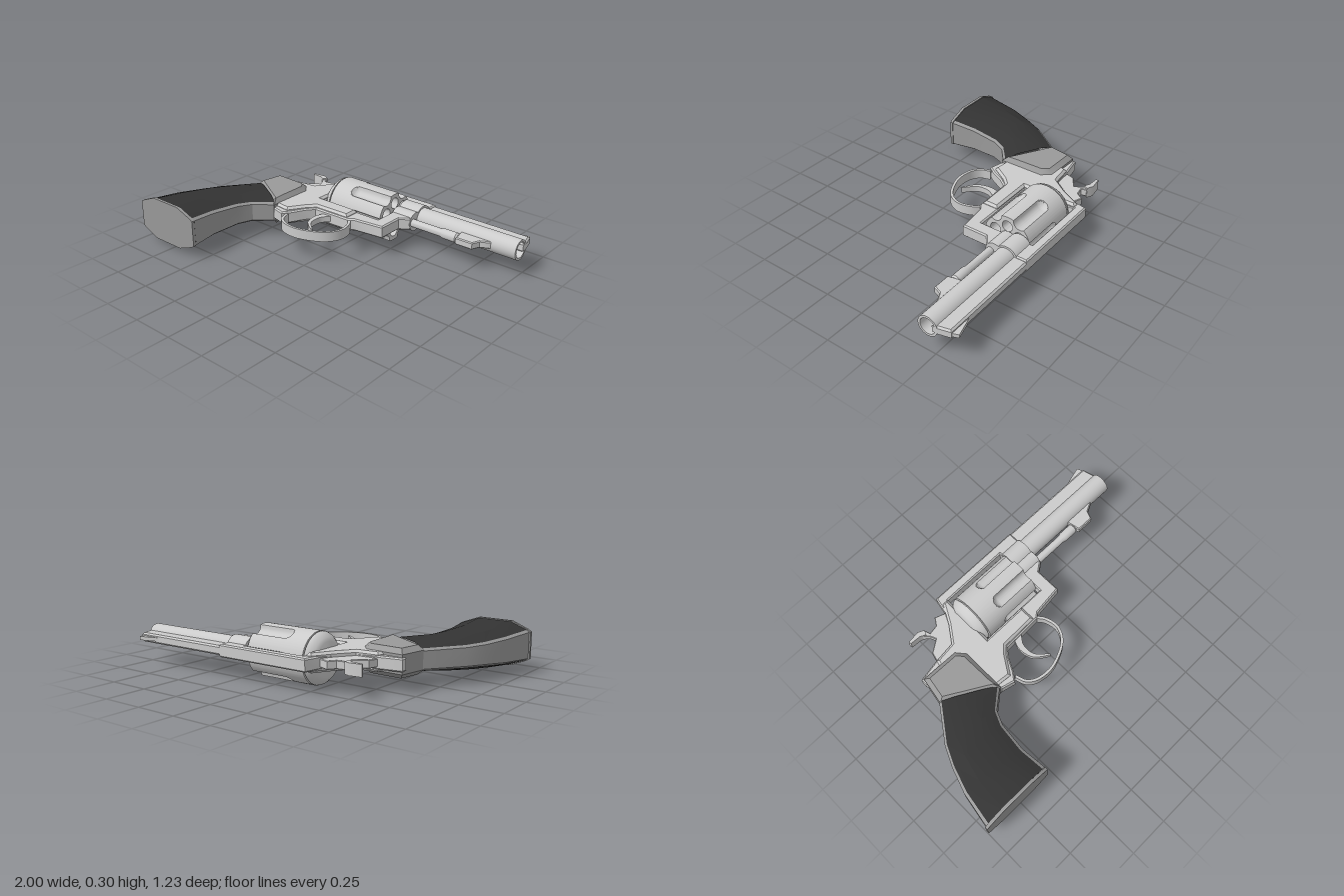
import * as THREE from 'three';
import { toCreasedNormals } from 'three/addons/utils/BufferGeometryUtils.js';

const mat = (color) => new THREE.MeshStandardMaterial({ color, side: THREE.DoubleSide });
const V = (p) => new THREE.Vector2(p[0], p[1]);

export function createModel() {
  const steel = mat(0xcccccc), dull = mat(0x999999), dark = mat(0x333333);
  const root = new THREE.Group();
  root.name = 'revolver';
  // Built upright in the XY plane (muzzle +x), then laid on its side
  const gun = new THREE.Group();
  gun.name = 'body';
  gun.rotation.x = -Math.PI / 2;
  gun.position.y = 0.167;
  root.add(gun);

  const add = (name, geo, material = steel, crease = 0.6) => {
    const m = new THREE.Mesh(toCreasedNormals(geo, crease), material);
    m.name = name;
    gun.add(m);
    return m;
  };
  // Side outline extruded symmetrically about the middle plane, with chamfered edges
  const plate = (name, pts, half, bevel = 0, material = steel, hole = null) => {
    const shape = new THREE.Shape(pts.map(V));
    if (hole) shape.holes.push(new THREE.Path(hole.map(V)));
    const geo = new THREE.ExtrudeGeometry(shape, {
      depth: 2 * (half - bevel), bevelEnabled: bevel > 0, bevelThickness: bevel,
      bevelSize: bevel, bevelOffset: -bevel, bevelSegments: 1,
    });
    geo.translate(0, 0, -(half - bevel));
    return add(name, geo, material);
  };
  // Turned part along x: profile of [x, radius], axis at height y
  const turned = (name, profile, y, z = 0, seg = 32) => {
    const geo = new THREE.LatheGeometry(profile.map(([x, r]) => new THREE.Vector2(r, x)), seg);
    geo.rotateZ(-Math.PI / 2);
    geo.translate(0, y, z);
    return add(name, geo);
  };
  // Closed outline of a curved band whose width runs from w0 to w1
  const band = (pts, w0, w1, n = 28) => {
    const curve = new THREE.SplineCurve(pts.map(V));
    const a = [], b = [];
    for (let i = 0; i <= n; i++) {
      const p = curve.getPoint(i / n), t = curve.getTangent(i / n), w = (w0 + (w1 - w0) * i / n) / 2;
      a.push([p.x - t.y * w, p.y + t.x * w]);
      b.unshift([p.x + t.y * w, p.y - t.x * w]);
    }
    return a.concat(b);
  };

  // Frame with the cylinder window
  plate('frame', [
    [-0.28, 0.587], [-0.3, 0.49], [-0.34, 0.41], [-0.41, 0.31], [-0.54, 0.3], [-0.68, 0.275], [-0.68, 0.24],
    [-0.6, 0.1], [-0.42, -0.02], [-0.39, -0.09], [-0.305, -0.112], [-0.27, -0.065], [-0.23, 0.015], [-0.19, 0.068],
    [0.06, 0.075], [0.09, 0.098], [0.28, 0.12], [0.28, 0.28], [0.335, 0.32], [0.335, 0.587],
  ], 0.038, 0.008, steel, [[-0.235, 0.19], [0.195, 0.19], [0.195, 0.53], [-0.235, 0.53]]);
  // Thicker rear of the frame
  plate('rearFrame', [
    [-0.275, 0.53], [-0.34, 0.41], [-0.41, 0.31], [-0.54, 0.295], [-0.6, 0.1], [-0.4, -0.06], [-0.3, -0.07],
    [-0.23, 0.04], [-0.19, 0.08], [0.04, 0.085], [0.04, 0.185], [-0.24, 0.185], [-0.24, 0.53],
  ], 0.055, 0.014);

  // Barrel with open bore, its housing and the crane
  turned('barrel', [[0.3, 0.062], [1, 0.062], [1, 0.048], [0.7, 0.046], [0.7, 0]], 0.452);
  turned('barrelHousing', [[0.198, 0], [0.198, 0.074], [0.335, 0.074], [0.335, 0]], 0.455);
  turned('crane', [[0.198, 0], [0.198, 0.058], [0.335, 0.058], [0.335, 0]], 0.375);
  plate('barrelRib', [[0.2, 0.5], [1, 0.48], [1, 0.515], [0.982, 0.587], [0.2, 0.587]], 0.028, 0.01);
  plate('frontSight', [[0.82, 0.58], [0.87, 0.597], [0.965, 0.622], [0.985, 0.57], [0.82, 0.57]], 0.011);
  // Ejector rod and its lug
  turned('ejectorRod', [
    [0.3, 0.024], [0.54, 0.024], [0.56, 0.03], [0.645, 0.03], [0.655, 0.022], [0.655, 0],
  ], 0.35, 0, 20);
  plate('ejectorLug', [[0.64, 0.41], [0.66, 0.31], [0.77, 0.31], [0.79, 0.36], [0.84, 0.385], [0.86, 0.41]], 0.022, 0.006);

  // Fluted cylinder: radius is cut by six round-ended grooves
  const R = 0.152, N = 144, axisY = 0.36, axisZ = -0.009;
  const radius = (x, a) => {
    const f2 = 0.042 ** 2 - Math.max(0, -0.035 - x) ** 2, d = 0.163, step = Math.PI / 3;
    const phi = a - Math.round(a / step) * step;
    const k = f2 - (d * Math.sin(phi)) ** 2;
    return f2 > 0 && k > 0 ? Math.min(R, d * Math.cos(phi) - Math.sqrt(k)) : R;
  };
  const xs = [-0.2, -0.08];
  for (let i = 0; i <= 9; i++) xs.push(-0.077 + 0.042 * i / 9);
  xs.push(0.12);
  const pos = [], idx = [];
  xs.forEach((x, i) => {
    for (let j = 0; j < N; j++) {
      const a = j / N * Math.PI * 2, r = radius(x, a);
      pos.push(x, axisY + r * Math.cos(a), axisZ + r * Math.sin(a));
      if (i) {
        const p = (i - 1) * N + j, q = (i - 1) * N + (j + 1) % N;
        idx.push(p, q, p + N, q, q + N, p + N);
      }
    }
  });
  const last = (xs.length - 1) * N, hub = pos.length / 3;
  pos.push(0.12, axisY, axisZ);
  for (let j = 0; j < N; j++) idx.push(hub, last + j, last + (j + 1) % N);
  const drum = new THREE.BufferGeometry();
  drum.setAttribute('position', new THREE.Float32BufferAttribute(pos, 3));
  // Winding faces outward
  for (let i = 0; i < idx.length - 3 * N; i += 3) [idx[i + 1], idx[i + 2]] = [idx[i + 2], idx[i + 1]];
  for (let i = 0; i < idx.length - 3 * N; i += 3) [idx[i + 1], idx[i + 2]] = [idx[i + 2], idx[i + 1]];
  drum.setIndex(idx);
  add('cylinder', drum, steel, 0.5);

  // Front of the cylinder with six chambers
  const face = new THREE.Shape();
  for (let j = 0; j < N; j++) {
    const a = j / N * Math.PI * 2, r = radius(0.15, a);
    face[j ? 'lineTo' : 'moveTo'](-r * Math.sin(a), r * Math.cos(a));
  }
  for (let i = 0; i < 6; i++) {
    const a = (i + 0.5) * Math.PI / 3;
    face.holes.push(new THREE.Path().absarc(-0.092 * Math.sin(a), 0.092 * Math.cos(a), 0.034, 0, Math.PI * 2, true));
  }
  const front = new THREE.ExtrudeGeometry(face, { depth: 0.07, bevelEnabled: false, curveSegments: 20 });
  front.rotateY(Math.PI / 2);
  front.translate(0.12, axisY, axisZ);
  add('cylinderFront', front, steel, 0.5);
  turned('recoilShield', [[-0.262, 0], [-0.262, 0.1], [-0.25, 0.122], [-0.225, 0.144], [-0.208, 0.15], [-0.208, 0.135],
    [-0.2, 0.135], [-0.2, 0.152], [-0.195, 0.152]], axisY, axisZ, 48);
  turned('cylinderPin', [[0.18, 0.04], [0.21, 0.04]], axisY, axisZ, 20);

  // Hammer, its wide thumb spur, trigger and guard
  plate('hammer', [
    [-0.5, 0.5], [-0.46, 0.485], [-0.45, 0.455], [-0.395, 0.465], [-0.365, 0.51], [-0.3, 0.485], [-0.33, 0.4],
    [-0.41, 0.3], [-0.54, 0.3], [-0.525, 0.355], [-0.45, 0.405], [-0.465, 0.44], [-0.5, 0.475],
  ], 0.024, 0.004);
  plate('hammerSpur', [[-0.58, 0.497], [-0.5, 0.507], [-0.462, 0.488], [-0.475, 0.46], [-0.51, 0.478], [-0.575, 0.482]], 0.034);
  plate('trigger', band([[-0.09, 0.09], [-0.128, 0.02], [-0.115, -0.07], [-0.04, -0.135]], 0.05, 0.008, 16), 0.018, 0);
  plate('triggerGuard', band([
    [-0.28, -0.09], [-0.255, -0.155], [-0.19, -0.195], [-0.08, -0.198], [0.05, -0.14], [0.107, -0.055], [0.095, 0.035], [0.05, 0.095],
  ], 0.016, 0.016, 36), 0.03);

  // Grip: [back x, y, front x, y, half width, half width of straps]
  const rings = [
    [-0.7, 0.1, -0.39, -0.075, 0.08, 0.05], [-0.85, -0.11, -0.5, -0.165, 0.09, 0.052],
    [-0.905, -0.23, -0.537, -0.25, 0.098, 0.056], [-0.955, -0.38, -0.556, -0.43, 0.11, 0.066],
    [-0.992, -0.595, -0.542, -0.59, 0.128, 0.078],
  ];
  const stations = ([bx, by, fx, fy, h, s]) => [
    [0, s], [0.04, s + 0.012], [0.26, h], [0.72, h], [0.96, s + 0.012], [1, s],
  ].map(([t, z]) => [bx + (fx - bx) * t, by + (fy - by) * t, z]);
  const section = (ring) => {
    const half = stations(ring);
    return half.concat(half.slice().reverse().map(([x, y, z]) => [x, y, -z]));
  };
  const skin = (test) => {
    const p = [];
    for (let i = 1; i < rings.length; i++) {
      const a = section(rings[i - 1]), b = section(rings[i]);
      for (let j = 0; j < 12; j++) {
        const k = (j + 1) % 12;
        if (test(j % 6)) p.push(...a[j], ...b[j], ...b[k], ...a[j], ...b[k], ...a[k]);
      }
    }
    const g = new THREE.BufferGeometry();
    g.setAttribute('position', new THREE.Float32BufferAttribute(p, 3));
    return g;
  };
  const isPanel = (j) => j >= 1 && j <= 3;
  add('gripPanels', skin(isPanel), dark, 0.35);
  add('gripStraps', skin((j) => !isPanel(j)), dull, 0.35);
  // Butt plate
  const butt = new THREE.ExtrudeGeometry(
    new THREE.Shape(section([-1, 0, -0.54, 0, 0.133, 0.08]).map(V2 => new THREE.Vector2(V2[0], V2[2]))),
    { depth: 0.018, bevelEnabled: false });
  butt.rotateX(Math.PI / 2);
  butt.translate(0, -0.592, 0);
  add('buttPlate', butt, dull);
  // Shoulder of the grip
  plate('gripShoulder', [
    [-0.67, 0.262], [-0.435, 0.255], [-0.39, 0.2], [-0.39, -0.085], [-0.42, -0.075], [-0.7, 0.09],
  ], 0.082, 0.028, dull);
  return root;
}
